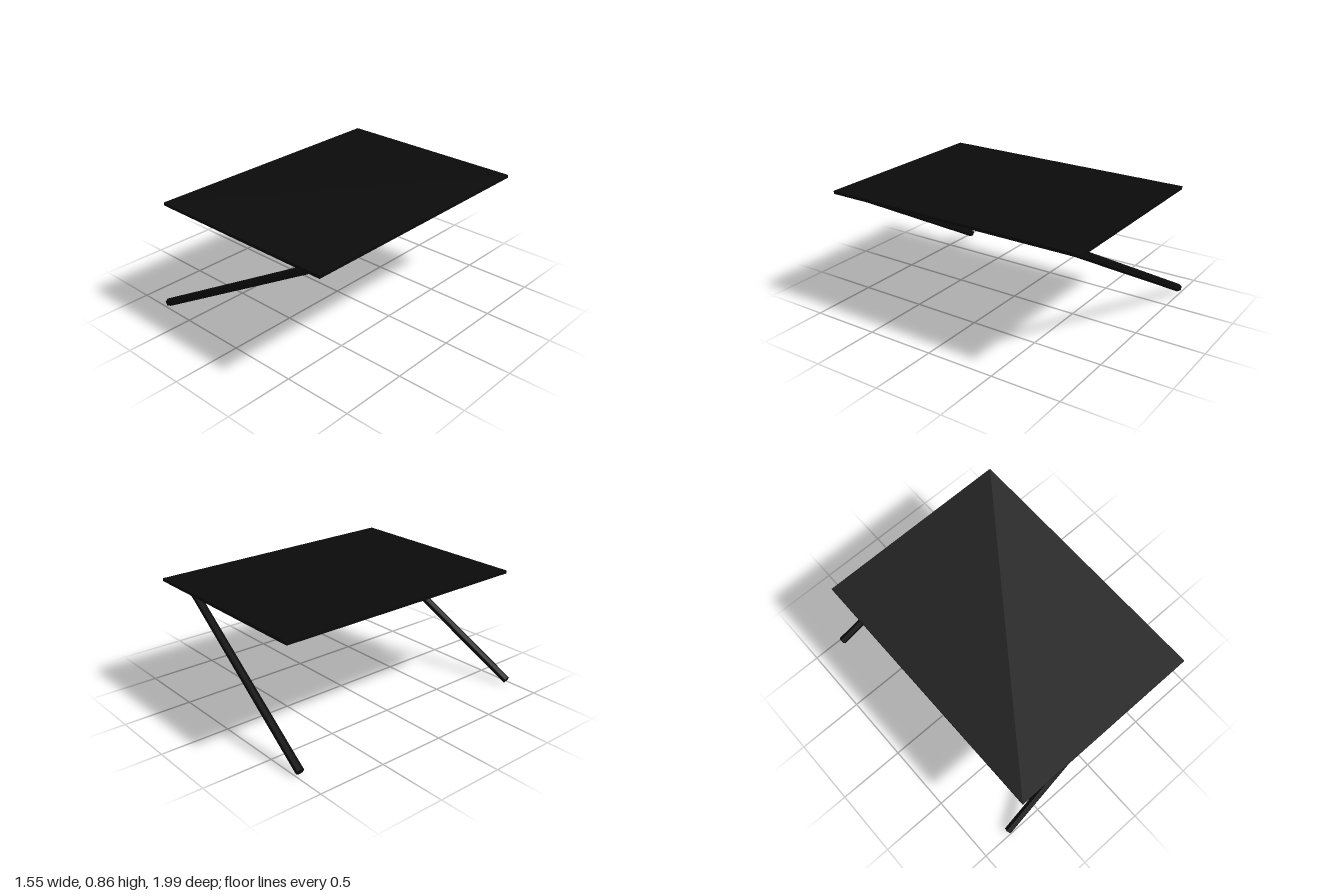
import * as THREE from 'three';

const black = new THREE.MeshStandardMaterial({ color: 0x0b0b0b, flatShading: true });
const V = (x, y, z) => new THREE.Vector3(x, y, z);

// Faceted bar along a bent path with mitred joints; cut normals give the angle of each end.
function bar(name, points, radius, sides, startCut, endCut) {
  const dirs = points.slice(1).map((p, i) => p.clone().sub(points[i]).normalize());
  const d0 = dirs[0];
  const side = V(0, 0, 1).addScaledVector(d0, -d0.z).normalize();
  const out = d0.clone().cross(side);
  let ring = Array.from({ length: sides }, (_, i) => {
    const a = (i / sides) * Math.PI * 2;
    return points[0].clone()
      .addScaledVector(out, radius * Math.cos(a))
      .addScaledVector(side, -radius * Math.sin(a));
  });
  // Slide each corner along the segment until it meets the joint plane
  const rings = points.map((p, i) => {
    const dir = dirs[Math.max(i - 1, 0)];
    const n = i === 0 ? startCut || d0
      : i === points.length - 1 ? endCut || dir
      : dir.clone().add(dirs[i]);
    ring = ring.map(c => c.clone().addScaledVector(dir, p.clone().sub(c).dot(n) / dir.dot(n)));
    return ring;
  });

  const corners = [];
  for (let r = 0; r < rings.length - 1; r++) {
    const [a, b] = [rings[r], rings[r + 1]];
    for (let i = 0; i < sides; i++) {
      const j = (i + 1) % sides;
      corners.push(a[i], a[j], b[j], a[i], b[j], b[i]);
    }
  }
  const first = rings[0], last = rings[rings.length - 1];
  for (let i = 1; i < sides - 1; i++) {
    corners.push(first[0], first[i + 1], first[i], last[0], last[i], last[i + 1]);
  }
  const geometry = new THREE.BufferGeometry().setFromPoints(corners);
  geometry.computeVertexNormals();
  const mesh = new THREE.Mesh(geometry, black);
  mesh.name = name;
  return mesh;
}

export function createModel() {
  const group = new THREE.Group();
  group.name = 'tiltedStandPanel';
  const up = V(0, 1, 0);

  // Thin flat panel
  const panel = new THREE.Mesh(new THREE.BoxGeometry(1.445, 0.022, 1.968), black);
  panel.name = 'panel';
  panel.position.set(0.053, 0.851, 0.007);
  group.add(panel);

  // Long splayed legs, each with a short bent stub under the panel
  for (const [name, s, kneeZ] of [['frontLeg', 1, 0.832], ['backLeg', -1, 0.84]]) {
    group.add(bar(name, [
      V(-0.764, 0.027, s * 0.972),
      V(0.63, 0.80, s * kneeZ),
      V(0.642, 0.85, s * 0.834),
    ], 0.029, 6, null, up));
  }

  // Small handle under the panel near the back
  group.add(bar('handle', [
    V(-0.105, 0.85, -0.638),
    V(-0.038, 0.74, -0.638),
    V(0.094, 0.74, -0.638),
    V(0.161, 0.85, -0.638),
  ], 0.0255, 5, up, up));

  return group;
}
